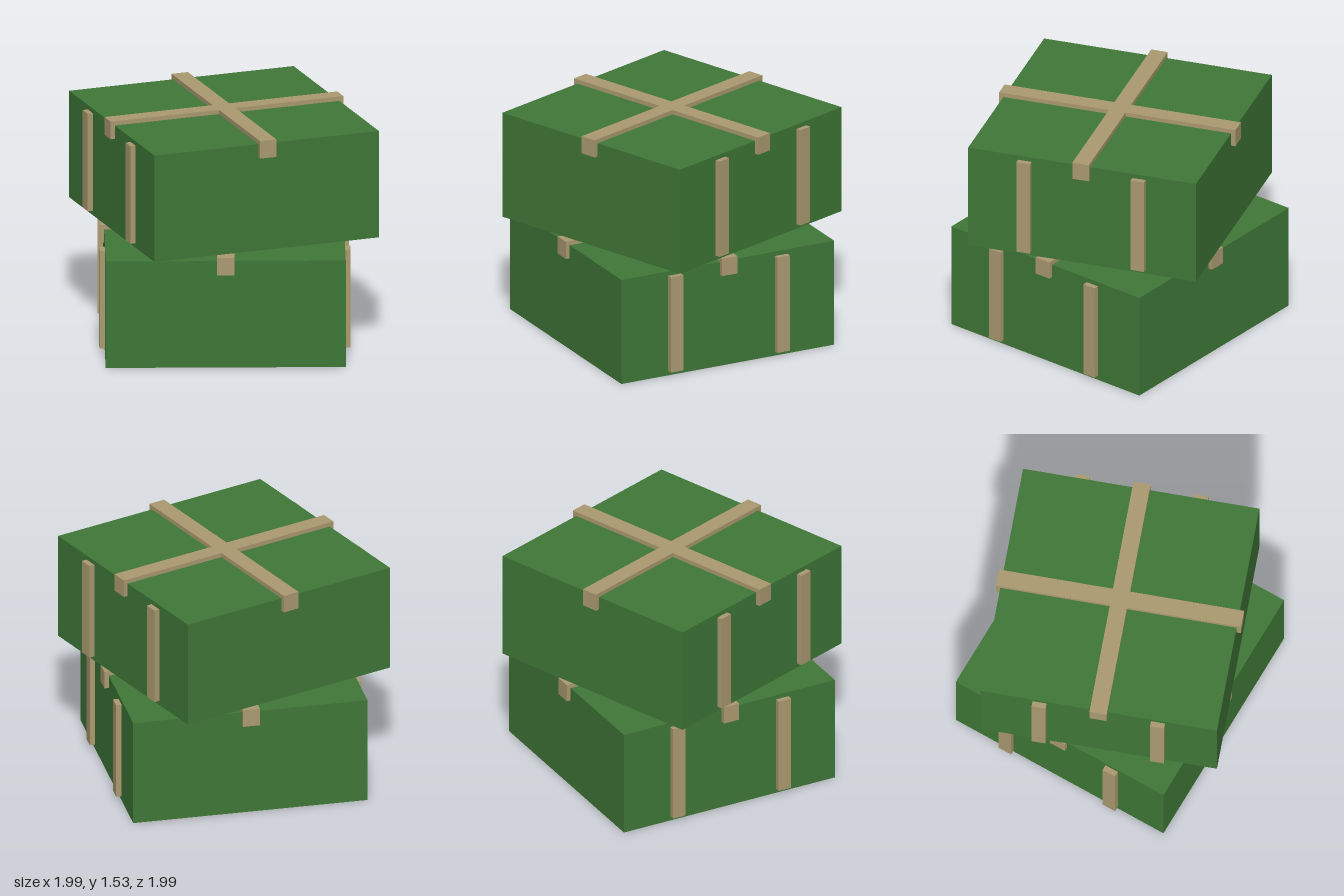
import * as THREE from 'three';

const SIDE = 1.556, HEIGHT = 0.72;         // crate body
const HALF = SIDE / 2;
const STRAP_W = 0.113, STRAP_T = 0.029;    // crossed straps
const STRAP_END = HALF + STRAP_T;

export function createModel() {
  const green = new THREE.MeshStandardMaterial({ color: 0x3f7737 });
  green.name = 'crate green';
  const tan = new THREE.MeshStandardMaterial({ color: 0xab9a70 });
  tan.name = 'strap tan';

  function addBox(parent, name, material, size, position) {
    const mesh = new THREE.Mesh(new THREE.BoxGeometry(...size), material);
    mesh.name = name;
    mesh.position.set(...position);
    parent.add(mesh);
  }

  // Plus-shaped outline of the two straps crossing on the lid
  function crossGeometry() {
    const w = STRAP_W / 2, e = STRAP_END;
    const shape = new THREE.Shape([
      [w, w], [w, e], [-w, e], [-w, w], [-e, w], [-e, -w],
      [-w, -w], [-w, -e], [w, -e], [w, -w], [e, -w], [e, w],
    ].map(([x, y]) => new THREE.Vector2(x, y)));
    const geometry = new THREE.ExtrudeGeometry(shape, { depth: STRAP_T, bevelEnabled: false });
    return geometry.rotateX(-Math.PI / 2);
  }

  function createCrate(name) {
    const crate = new THREE.Group();
    crate.name = name;
    addBox(crate, 'crateBody', green, [SIDE, HEIGHT, SIDE], [0, HEIGHT / 2, 0]);

    const cross = new THREE.Mesh(crossGeometry(), tan);
    cross.name = 'lidStraps';
    cross.position.y = HEIGHT;
    crate.add(cross);

    const tabH = 0.09, tabOut = HALF + STRAP_T / 2, tabY = HEIGHT - tabH / 2;
    for (const s of [-1, 1]) {
      // Strap ends folded over the lid edges
      addBox(crate, 'strapEndSide', tan, [STRAP_T, tabH, STRAP_W], [s * tabOut, tabY, 0]);
      addBox(crate, 'strapEndFrontBack', tan, [STRAP_W, tabH, STRAP_T], [0, tabY, s * tabOut]);
      // Two upright battens on each side wall
      for (const z of [-0.39, 0.39]) {
        addBox(crate, 'sideBatten', tan, [0.036, 0.66, 0.092], [s * (HALF + 0.018), HEIGHT / 2, z]);
      }
    }
    return crate;
  }

  const model = new THREE.Group();
  model.name = 'stackedCrates';
  model.add(createCrate('lowerCrate'));

  // Upper crate, turned on the stack with a small gap above the lower straps
  const upper = createCrate('upperCrate');
  upper.position.y = 0.782;
  upper.rotation.y = THREE.MathUtils.degToRad(20);
  model.add(upper);
  return model;
}
